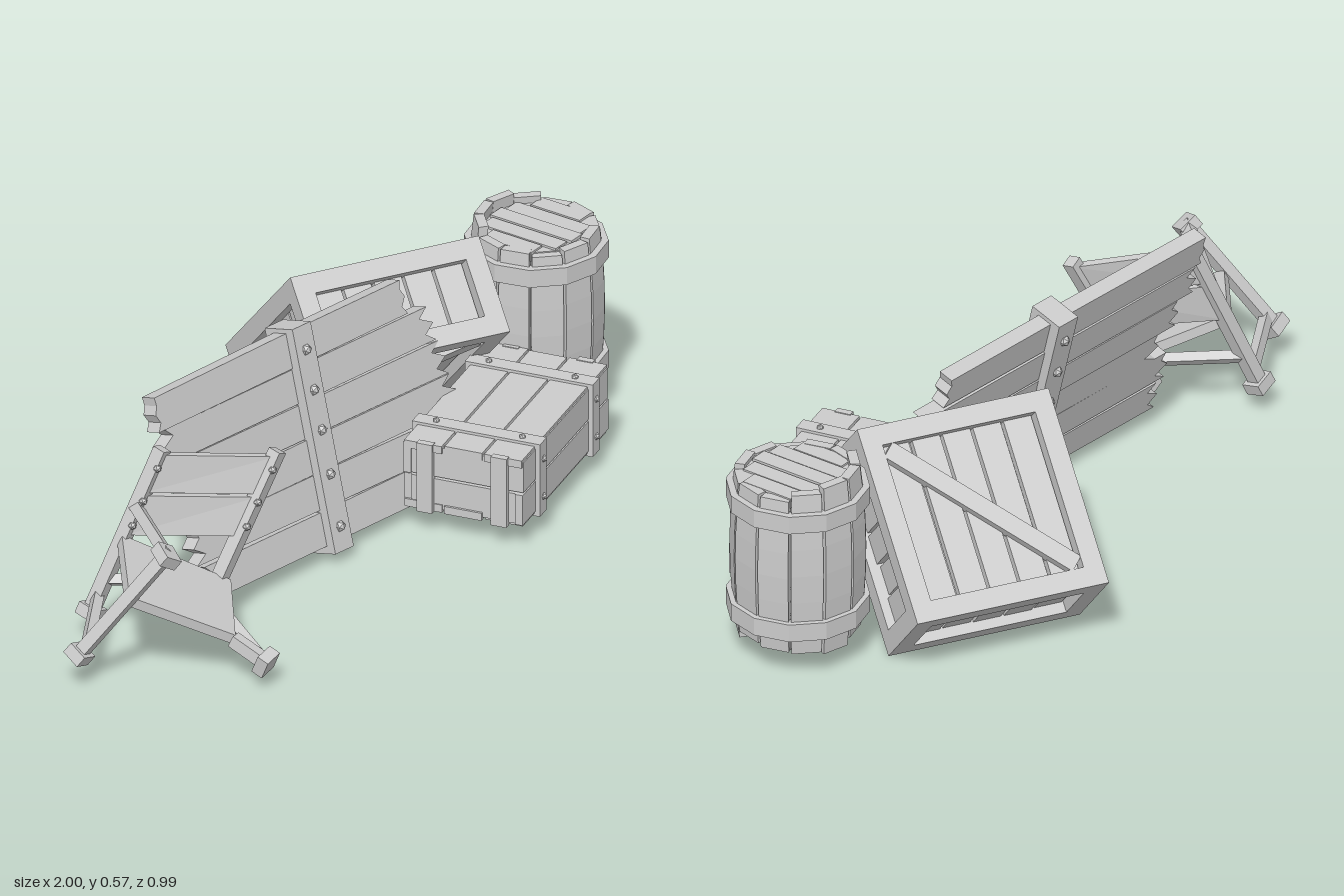
import * as THREE from 'three';

const mat = new THREE.MeshStandardMaterial({ color: 0xcccccc, flatShading: true, side: THREE.DoubleSide });
let seed = 7;
const rnd = () => (seed = (seed * 16807) % 2147483647) / 2147483647;
const vary = (a) => (rnd() * 2 - 1) * a;
const V = (x, y, z) => new THREE.Vector3(x, y, z);

function add(parent, name, geo, x = 0, y = 0, z = 0) {
  const m = new THREE.Mesh(geo, mat);
  m.name = name;
  m.position.set(x, y, z);
  parent.add(m);
  return m;
}
const box = (parent, name, w, h, d, x, y, z) => add(parent, name, new THREE.BoxGeometry(w, h, d), x, y, z);

function group(parent, name) {
  const g = new THREE.Group();
  g.name = name;
  parent.add(g);
  return g;
}

// bar running between two points
function beam(parent, name, a, b, w, d) {
  const m = box(parent, name, w, a.distanceTo(b), d, 0, 0, 0);
  m.position.copy(a).add(b).multiplyScalar(0.5);
  m.quaternion.setFromUnitVectors(V(0, 1, 0), b.clone().sub(a).normalize());
  return m;
}

// plank along x with splintered ends
function brokenPlank(x0, x1, h, t, rough) {
  const s = new THREE.Shape();
  const n = 4;
  s.moveTo(x0, -h / 2);
  s.lineTo(x1, -h / 2);
  for (let i = 1; i < n; i++) s.lineTo(x1 - (i % 2 ? rough : 0) * (0.5 + rnd() * 0.5), -h / 2 + (h * i) / n);
  s.lineTo(x1 - rough * 0.3, h / 2);
  s.lineTo((x0 + x1) / 2, h / 2 + vary(0.003));
  s.lineTo(x0 + rough * 0.3, h / 2);
  for (let i = n - 1; i > 0; i--) s.lineTo(x0 + (i % 2 ? rough : 0) * (0.4 + rnd() * 0.6), -h / 2 + (h * i) / n);
  const g = new THREE.ExtrudeGeometry(s, { depth: t, bevelEnabled: false });
  g.translate(0, 0, -t / 2);
  return g;
}

// broken tabletop leaning backwards
function makeTabletop(root) {
  const g = group(root, 'tabletop');
  g.position.set(-0.06, 0.285, 0.055);
  g.rotation.set(-0.28, -0.1, -0.04, 'YXZ');
  const ends = [[-0.46, 0.43], [-0.47, 0.46], [-0.42, 0.49], [-0.46, 0.48], [-0.5, 0.46], [-0.51, 0.38]];
  ends.forEach(([a, b], i) => {
    const p = add(g, 'tablePlank', brokenPlank(a, b, 0.085, 0.04, i === 5 ? 0.02 : 0.045), 0, -0.218 + i * 0.0885, vary(0.004));
    p.rotation.z = vary(0.008);
  });
  box(g, 'tableBatten', 0.065, 0.56, 0.09, 0, 0, 0);
  for (const y of [-0.22, -0.09, 0.02, 0.12, 0.22])
    for (const s of [-1, 1]) add(g, 'bolt', new THREE.IcosahedronGeometry(0.014, 0), 0, y, s * 0.046);
}

// one crate face in local xy, outward +z: planks, frame and optional brace
function crateFace(parent, w, h, planks, brace) {
  const g = group(parent, 'crateFace');
  const f = 0.05, n = planks;
  const step = (w - 2 * f) / n;
  for (let i = 0; i < n; i++)
    box(g, 'cratePlank', step - 0.008, h - 0.02, 0.02, -w / 2 + f + step * (i + 0.5), 0, -0.035 + vary(0.004));
  for (const s of [-1, 1]) {
    box(g, 'crateFrame', f, h, 0.04, s * (w - f) / 2, 0, -0.02);
    box(g, 'crateFrame', w - 2 * f, f, 0.04, 0, s * (h - f) / 2, -0.02);
  }
  if (brace) {
    const a = Math.atan2(h - 2 * f, w - 2 * f);
    const b = box(g, 'crateBrace', Math.hypot(w - 2 * f, h - 2 * f) - 0.035, 0.045, 0.03, 0, 0, -0.018);
    b.rotation.z = a;
  }
  return g;
}

// tilted crate standing on one edge
function makeCrate(root) {
  const g = group(root, 'crate');
  const ex = V(0.873, 0, 0.487).normalize();
  const ey = V(0.341, 0.716, -0.611);
  ey.addScaledVector(ex, -ey.dot(ex)).normalize();
  const ez = ex.clone().cross(ey);
  g.quaternion.setFromRotationMatrix(new THREE.Matrix4().makeBasis(ex, ey, ez));
  g.position.set(0.474, 0.259, -0.152);
  const L = 0.495, H = 0.245;
  box(g, 'crateCore', L - 0.09, H - 0.09, L - 0.09, 0, 0, 0);
  for (const s of [-1, 1]) {
    const top = crateFace(g, L, L, 5, true);
    top.position.y = s * H / 2;
    top.rotation.x = -s * Math.PI / 2;
    if (s > 0) top.children[top.children.length - 1].rotation.z *= -1;
    const side = crateFace(g, L, H, 5, false);
    side.position.z = s * L / 2;
    side.rotation.y = s > 0 ? 0 : Math.PI;
    const end = crateFace(g, L, H, 5, false);
    end.position.x = s * L / 2;
    end.rotation.y = s * Math.PI / 2;
  }
}

// barrel of bulging staves
function makeBarrel(root) {
  const g = group(root, 'barrel');
  g.position.set(0.83, 0, 0.085);
  const n = 12;
  for (let i = 0; i < n; i++) {
    const y0 = 0.065 + vary(0.012), y1 = 0.49 + vary(0.018);
    const geo = new THREE.BoxGeometry(0.078, y1 - y0, 0.024, 1, 6, 1);
    geo.translate(0, (y0 + y1) / 2, 0);
    const p = geo.attributes.position;
    for (let k = 0; k < p.count; k++) {
      const t = (p.getY(k) - 0.28) / 0.22;
      const bulge = 1 - 0.09 * t * t;
      p.setX(k, p.getX(k) * bulge * (p.getZ(k) < 0 ? 0.9 : 1));
      p.setZ(k, p.getZ(k) + 0.146 * bulge);
    }
    add(g, 'stave', geo).rotation.y = ((i + 0.5) / n) * Math.PI * 2;
  }
  for (const y of [0.132, 0.425]) {
    const r = [[0.145, -0.023], [0.172, -0.023], [0.172, 0.023], [0.145, 0.023], [0.145, -0.023]];
    add(g, 'hoop', new THREE.LatheGeometry(r.map(([a, b]) => new THREE.Vector2(a, b)), n), 0, y, 0);
  }
  // recessed heads made of boards
  for (const y of [0.085, 0.468]) {
    add(g, 'barrelHead', new THREE.CylinderGeometry(0.132, 0.132, 0.014, n), 0, y, 0);
    for (let i = -2; i <= 2; i++) {
      const len = 2 * Math.sqrt(0.13 ** 2 - (Math.abs(i) * 0.05) ** 2) - 0.025;
      box(g, 'headBoard', 0.046, 0.022 + rnd() * 0.008, len, i * 0.05, y, 0);
    }
  }
}

// long box lying on its base, with straps
function makeChest(root) {
  const g = group(root, 'longBox');
  g.position.set(0.435, 0.145, 0.275);
  g.rotation.y = 0.226;
  const L = 0.53, H = 0.17, D = 0.305;
  box(g, 'boxCore', L - 0.03, H - 0.02, D - 0.03, 0, 0, 0);
  for (const s of [-1, 1]) {
    for (const r of [-1, 1]) {
      box(g, 'sidePlank', L + vary(0.008), H / 2 - 0.005, 0.02, 0, r * H / 4, s * (D / 2 - 0.01));
      box(g, 'endPlank', 0.018, H / 2 - 0.006, D - 0.04, s * (L / 2 - 0.01), r * H / 4, 0);
      box(g, 'endBatten', 0.018, H + 0.012, 0.04, s * (L / 2 + 0.004), 0, r * 0.095);
    }
    for (let i = -1; i <= 1; i++)
      box(g, 'lidPlank', L + vary(0.012), 0.02, D / 3 - 0.006, 0, s * (H / 2 - 0.006), i * D / 3);
    box(g, 'strap', 0.042, H + 0.022, D + 0.022, s * 0.165, 0, 0);
    for (const z of [-0.11, 0.11]) add(g, 'bolt', new THREE.IcosahedronGeometry(0.009, 0), s * 0.165, H / 2 + 0.012, z);
    for (const y of [-0.05, 0.05]) add(g, 'bolt', new THREE.IcosahedronGeometry(0.009, 0), s * 0.165, y, D / 2 + 0.012);
  }
}

// slab from four corners, thickened along its normal
function slab(parent, name, c, t) {
  const n = c[1].clone().sub(c[0]).cross(c[3].clone().sub(c[0])).setLength(t / 2);
  const v = [...c.map((p) => p.clone().sub(n)), ...c.map((p) => p.clone().add(n))];
  const geo = new THREE.BufferGeometry().setFromPoints(v);
  const idx = [0, 2, 1, 0, 3, 2, 4, 5, 6, 4, 6, 7];
  for (let i = 0; i < 4; i++) {
    const j = (i + 1) % 4;
    idx.push(i, j, j + 4, i, j + 4, i + 4);
  }
  geo.setIndex(idx);
  geo.computeVertexNormals();
  return add(parent, name, geo);
}

// battered chair tipped against the tabletop
function makeChair(root) {
  const g = group(root, 'chair');
  const topA = V(-0.6, 0.47, 0.01), footA = V(-0.745, 0.065, -0.095);
  const topB = V(-0.41, 0.445, 0.21), footB = V(-0.585, 0.06, 0.12);
  const footC = V(-0.965, 0.08, 0.025), arm = V(-0.85, 0.35, 0.2);
  const footD = V(-0.71, 0.06, 0.39);
  const at = (a, b, t) => a.clone().lerp(b, t);
  beam(g, 'backPost', footA, topA, 0.032, 0.032);
  beam(g, 'backPost', footB, topB, 0.032, 0.032);
  beam(g, 'frontPost', footC, arm, 0.03, 0.03);
  beam(g, 'armRest', at(footA, topA, 0.64), arm, 0.026, 0.03);
  const seat = [V(-0.9, 0.225, 0.12), V(-0.72, 0.1, 0.3), V(-0.54, 0.13, 0.16), V(-0.69, 0.25, -0.05)];
  slab(g, 'seat', seat, 0.025);
  beam(g, 'frontLeg', seat[1], footD, 0.03, 0.03);
  beam(g, 'stretcher', at(footB, topB, 0.1), footD, 0.024, 0.024);
  beam(g, 'stretcher', at(footA, topA, 0.1), at(footC, arm, 0.1), 0.024, 0.024);
  beam(g, 'stretcher', at(footA, topA, 0.2), at(footB, topB, 0.2), 0.024, 0.024);
  // back boards between the posts
  for (const [a, b] of [[0.48, 0.72], [0.74, 0.97]])
    slab(g, 'backBoard', [at(footA, topA, a), at(footB, topB, a), at(footB, topB, b), at(footA, topA, b)], 0.02);
  for (const t of [0.55, 0.7, 0.9])
    for (const [a, b] of [[footA, topA], [footB, topB]]) {
      const p = at(a, b, t);
      add(g, 'bolt', new THREE.IcosahedronGeometry(0.011, 0), p.x - 0.01, p.y, p.z + 0.014);
    }
  // flared feet
  for (const [a, b] of [[footA, topA], [footB, topB], [footC, arm], [arm, footC], [footD, seat[1]]]) {
    const dir = b.clone().sub(a).normalize();
    beam(g, 'flaredEnd', a.clone().addScaledVector(dir, -0.012), a.clone().addScaledVector(dir, 0.018), 0.055, 0.05);
  }
}

export function createModel() {
  seed = 7;
  const root = new THREE.Group();
  root.name = 'barricade';
  makeTabletop(root);
  makeCrate(root);
  makeBarrel(root);
  makeChest(root);
  makeChair(root);
  return root;
}
